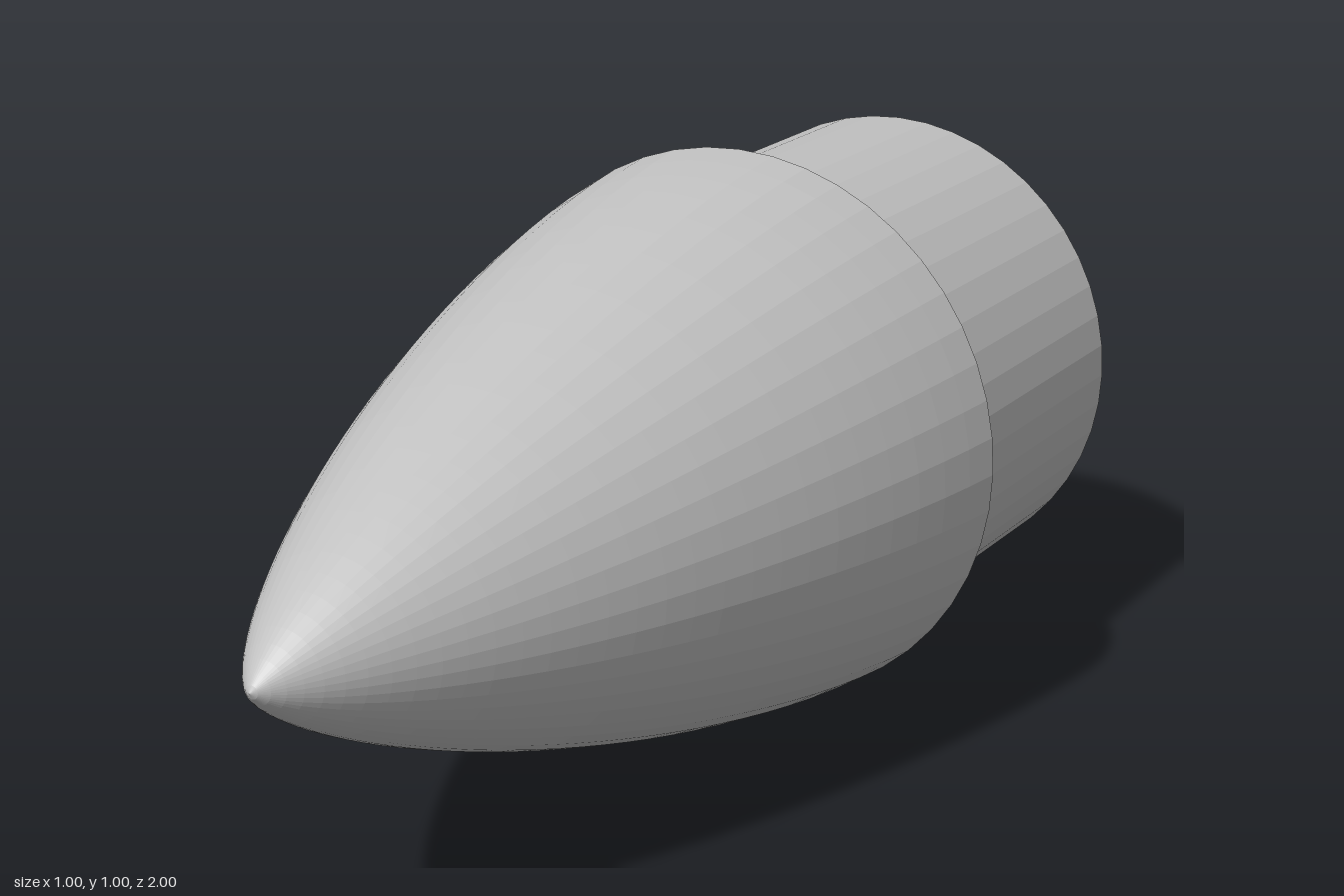
import * as THREE from 'three';

const SIDES = 48;
const BASE = -0.385; // z of the shoulder between cone and tube
const TIP = 1;
const BORE = 0.381; // inner radius of the tube

// Low-drag nose curve, cut off shortly before it runs parallel to the axis
function haack(x) {
  const a = Math.acos(1 - (2 * x) / 1.45);
  return Math.sqrt(Math.max(0, a - Math.sin(2 * a) / 2));
}

// Nose profile from the base to the tip as (radius, z) points
function nosePoints(radius, tip, steps) {
  const pts = [];
  for (let i = 0; i <= steps; i++) {
    const t = Math.pow(1 - i / steps, 1.6); // closer rings near the tip
    const r = (radius * haack(t * (TIP - BASE))) / haack(TIP - BASE);
    pts.push(new THREE.Vector2(r, tip - (tip - BASE) * t));
  }
  return pts;
}

// Revolve a profile (radius, z) around the z axis
function revolve(name, pts, material) {
  const geo = new THREE.LatheGeometry(pts, SIDES);
  geo.rotateX(Math.PI / 2);
  const mesh = new THREE.Mesh(geo, material);
  mesh.name = name;
  mesh.position.y = 0.5;
  return mesh;
}

export function createModel() {
  const group = new THREE.Group();
  group.name = 'noseCone';
  const grey = new THREE.MeshStandardMaterial({ color: 0xc0c0c0, flatShading: true });
  grey.name = 'grey';

  // Outer cone skin with the flat ring of the shoulder
  const skin = [new THREE.Vector2(0.436, BASE), ...nosePoints(0.5, TIP, 30)];
  group.add(revolve('coneSkin', skin, grey));

  // Shoulder tube: outer wall and the rim at the open end
  const tube = [[BORE, -1], [0.436, -1], [0.436, BASE]].map(([r, z]) => new THREE.Vector2(r, z));
  group.add(revolve('shoulderTube', tube, grey));

  // Bore: runs straight in from the rim until it meets the inside of the cone
  const inside = nosePoints(0.44, 0.9, 30).filter((p) => p.x < BORE).reverse();
  const bore = [...inside, new THREE.Vector2(BORE, inside.at(-1).y - 0.02), new THREE.Vector2(BORE, -1)];
  group.add(revolve('bore', bore, grey));

  return group;
}
